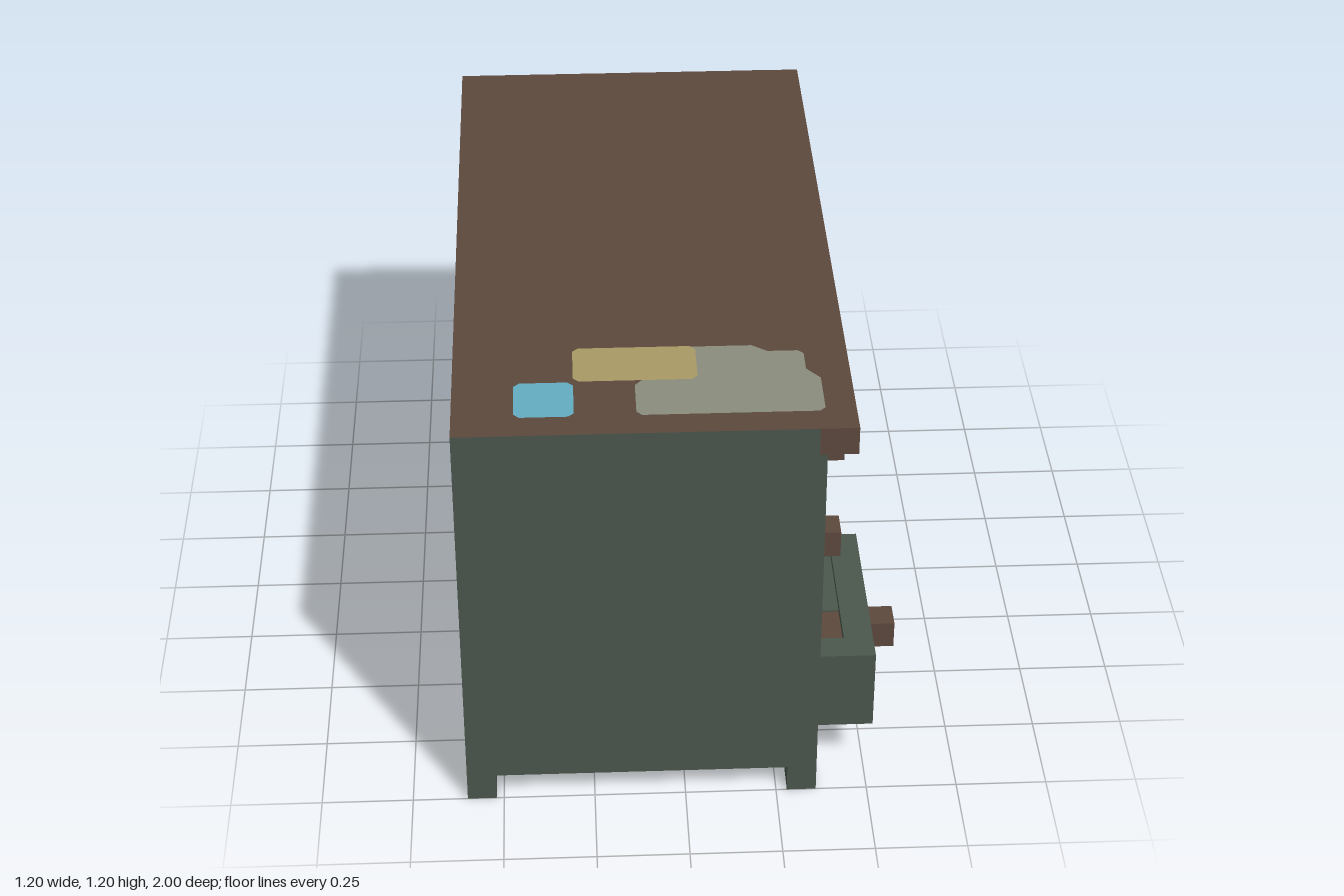
import * as THREE from 'three';

const mat = (name, color) => {
  const m = new THREE.MeshStandardMaterial({ color });
  m.name = name;
  return m;
};

export function createModel() {
  const desk = new THREE.Group();
  desk.name = 'desk';
  const green = mat('greenPaint', 0x4a564c);
  const brown = mat('brownWood', 0x5c483d);
  const grey = mat('greyPaper', 0x8a8c7c);
  const yellow = mat('yellowPaper', 0xa79964);
  const blue = mat('bluePaper', 0x62adc0);

  // Box given by its limits along each axis
  const box = (name, material, [x0, x1], [y0, y1], [z0, z1], parent = desk) => {
    const mesh = new THREE.Mesh(new THREE.BoxGeometry(x1 - x0, y1 - y0, z1 - z0), material);
    mesh.position.set((x0 + x1) / 2, (y0 + y1) / 2, (z0 + z1) / 2);
    mesh.name = name;
    parent.add(mesh);
    return mesh;
  };

  // Pedestal, side panel and apron over the knee space
  box('pedestal', green, [-0.6, 0.36], [0.08, 1.12], [0.28, 1]);
  box('sidePanel', green, [-0.6, 0.36], [0.08, 1.12], [-1, -0.84]);
  box('apron', green, [-0.6, 0.36], [0.72, 1.12], [-0.84, 0.28]);

  // Feet
  for (const x of [[-0.6, -0.52], [0.28, 0.36]]) {
    for (const z of [[0.92, 1], [0.28, 0.36]]) box('pedestalFoot', green, x, [0, 0.08], z);
    box('panelFoot', green, x, [0, 0.08], [-1, -0.84]);
  }

  // Tabletop: wood, with painted edges at the front left corner
  const top = [1.12, 1.2];
  box('tabletopOverhang', brown, [0.34, 0.44], top, [-1, 1]);
  box('tabletopBack', brown, [-0.6, 0.34], top, [-1, 0.31]);
  box('tabletopFront', [brown, green, brown, brown, green, brown], [-0.6, 0.34], top, [0.31, 1]);
  box('backEdgePaint', green, [0.3, 0.36], top, [-1.001, -0.999]);

  // Handles
  box('upperHandle', brown, [0.36, 0.44], [0.88, 0.96], [0.6, 0.68]);
  box('middleHandle', brown, [0.36, 0.44], [0.56, 0.64], [0.6, 0.68]);
  box('wideHandle', brown, [0.36, 0.44], [0.88, 0.96], [-0.36, -0.2]);

  // Open drawer with its contents
  const drawer = new THREE.Group();
  drawer.name = 'openDrawer';
  desk.add(drawer);
  box('drawerFront', green, [0.44, 0.52], [0.16, 0.4], [0.36, 0.92], drawer);
  box('drawerFloor', green, [0.36, 0.44], [0.16, 0.32], [0.44, 0.84], drawer);
  for (const z of [[0.36, 0.44], [0.84, 0.92]]) {
    box('drawerSide', green, [0.36, 0.44], [0.16, 0.4], z, drawer);
  }
  box('drawerFolder', green, [0.36, 0.44], [0.32, 0.38], [0.44, 0.69], drawer);
  box('drawerBook', brown, [0.36, 0.44], [0.32, 0.375], [0.69, 0.84], drawer);
  box('drawerHandle', brown, [0.52, 0.6], [0.24, 0.32], [0.6, 0.68], drawer);

  // Flat sheets lying on the tabletop, outlined in x and z
  const sheet = (name, material, points, y) => {
    const shape = new THREE.Shape(points.map(([x, z]) => new THREE.Vector2(x, -z)));
    const mesh = new THREE.Mesh(new THREE.ShapeGeometry(shape).rotateX(-Math.PI / 2), material);
    mesh.position.y = y;
    mesh.name = name;
    desk.add(mesh);
  };
  // Rectangle with clipped corners
  const clipped = (x0, x1, z0, z1, c = 0.015) => [
    [x0 + c, z0], [x1 - c, z0], [x1, z0 + c], [x1, z1 - c],
    [x1 - c, z1], [x0 + c, z1], [x0, z1 - c], [x0, z0 + c],
  ];
  sheet('greyPapers', grey, [
    [0.02, 0.6], [0.19, 0.6], [0.23, 0.63], [0.31, 0.63], [0.325, 0.645], [0.325, 0.72],
    [0.36, 0.765], [0.36, 0.905], [0.345, 0.92], [-0.11, 0.92], [-0.125, 0.905],
    [-0.125, 0.78], [-0.1, 0.75], [0.02, 0.75],
  ], 1.202);
  sheet('yellowPaper', yellow, clipped(-0.285, 0.04, 0.6, 0.76), 1.204);
  sheet('bluePaper', blue, clipped(-0.44, -0.285, 0.76, 0.92), 1.202);

  return desk;
}
